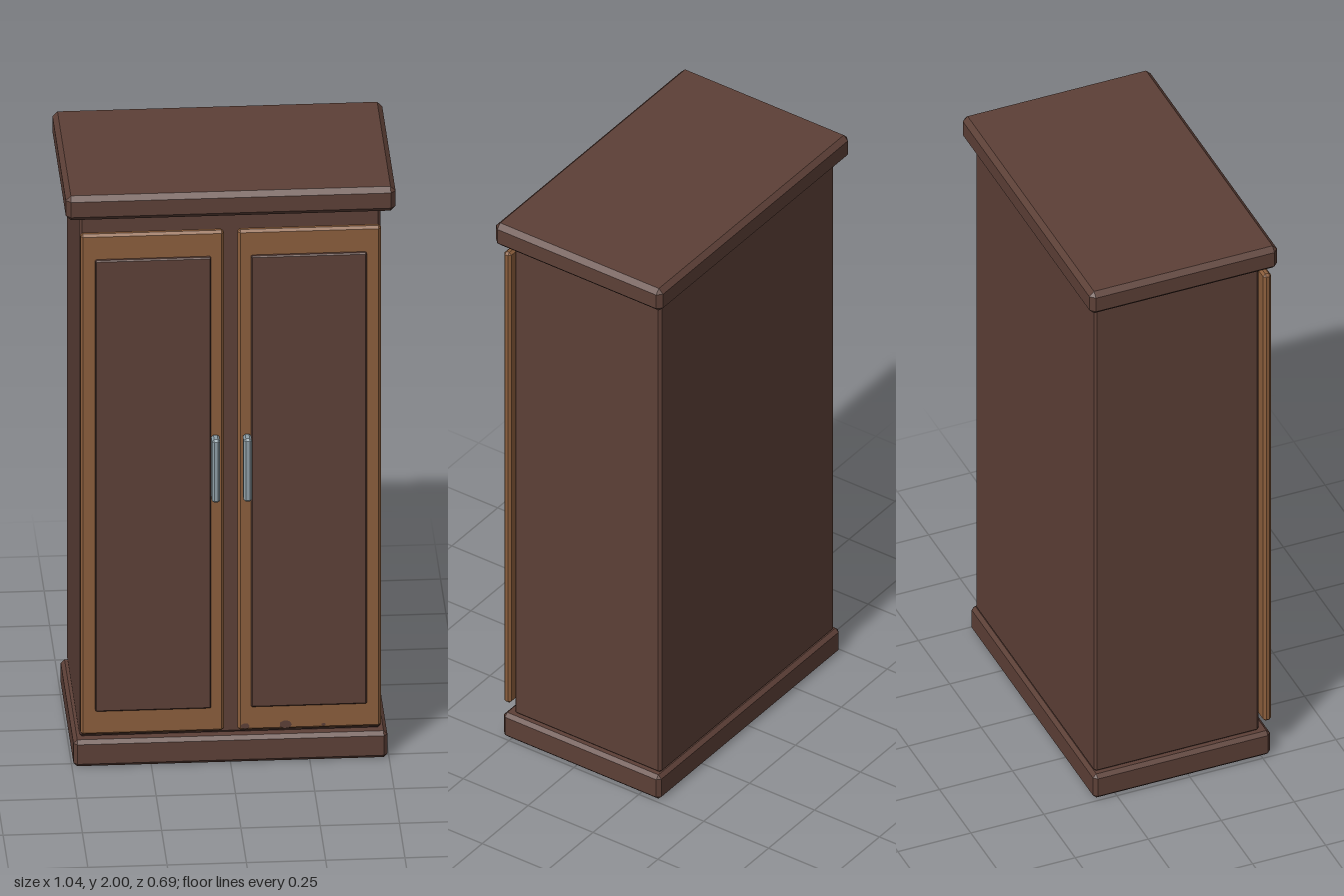
import * as THREE from 'three';
import { ConvexGeometry } from 'three/addons/geometries/ConvexGeometry.js';

const mat = (name, color) => Object.assign(new THREE.MeshStandardMaterial({ color }), { name });

// Box between two corners, with every edge chamfered by c
function chamferBox(name, material, [x0, y0, z0], [x1, y1, z1], c) {
  const half = [(x1 - x0) / 2, (y1 - y0) / 2, (z1 - z0) / 2];
  const points = [];
  for (const sx of [-1, 1]) for (const sy of [-1, 1]) for (const sz of [-1, 1]) {
    for (let axis = 0; axis < 3; axis++) {
      const p = half.map((h, i) => (i === axis ? h : h - c));
      points.push(new THREE.Vector3(sx * p[0], sy * p[1], sz * p[2]));
    }
  }
  const mesh = new THREE.Mesh(new ConvexGeometry(points), material);
  mesh.position.set((x0 + x1) / 2, (y0 + y1) / 2, (z0 + z1) / 2);
  mesh.name = name;
  return mesh;
}

export function createModel() {
  const darkWood = mat('darkWood', 0x5d4037);
  const lightWood = mat('lightWood', 0x8b5e3c);
  const metal = mat('metal', 0x90a0a8);

  const wardrobe = new THREE.Group();
  wardrobe.name = 'wardrobe';

  // Carcass: plinth, body and overhanging top
  wardrobe.add(
    chamferBox('plinth', darkWood, [-0.495, 0, -0.325], [0.495, 0.092, 0.281], 0.012),
    chamferBox('body', darkWood, [-0.475, 0.092, -0.315], [0.475, 1.915, 0.249], 0.008),
    chamferBox('top', darkWood, [-0.52, 1.915, -0.346], [0.52, 2, 0.297], 0.016),
  );

  // Two doors, each with a raised panel and a bar handle
  for (const side of [-1, 1]) {
    const door = new THREE.Group();
    door.name = side > 0 ? 'leftDoor' : 'rightDoor';
    const part = (name, material, x0, x1, y0, y1, z0, z1, c) => door.add(chamferBox(name, material,
      [Math.min(side * x0, side * x1), y0, z0], [Math.max(side * x0, side * x1), y1, z1], c));
    part('doorFrame', lightWood, 0.022, 0.474, 0.118, 1.866, 0.265, 0.292, 0.008);
    part('doorPanel', darkWood, 0.063, 0.428, 0.204, 1.78, 0.285, 0.304, 0.004);
    part('handle', metal, 0.037, 0.063, 0.94, 1.16, 0.296, 0.344, 0.007);
    wardrobe.add(door);
  }

  // Small dark wear marks along the bottom of one door
  for (const [x, y, r] of [[0.045, 0.134, 0.014], [0.172, 0.136, 0.02], [0.292, 0.132, 0.007]]) {
    const mark = new THREE.Mesh(new THREE.CircleGeometry(r, 7), darkWood);
    mark.scale.y = 0.75;
    mark.position.set(x, y, 0.2935);
    mark.name = 'wearMark';
    wardrobe.add(mark);
  }
  return wardrobe;
}
